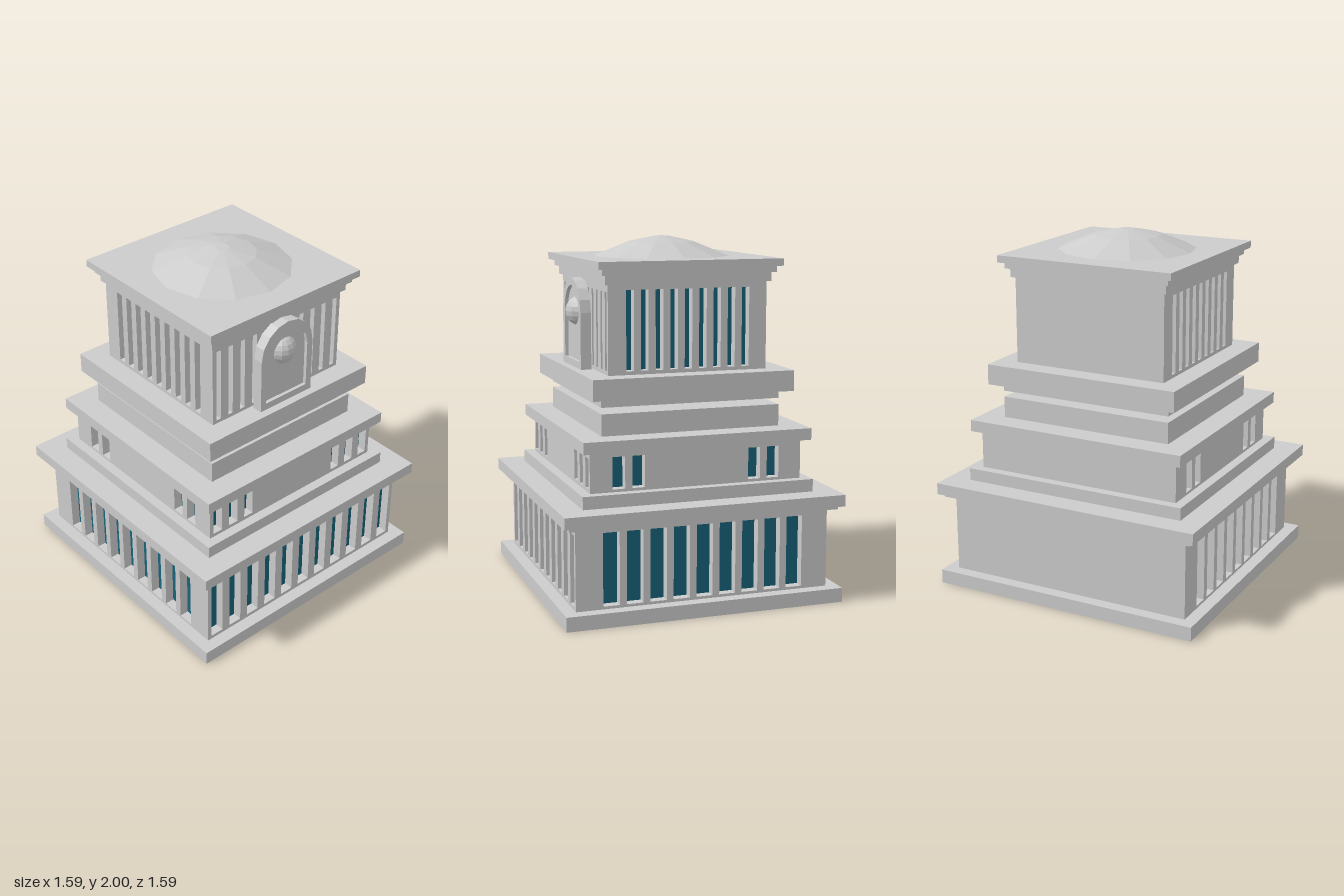
import * as THREE from 'three';

const GREY = new THREE.MeshStandardMaterial({ color: 0xcccccc, flatShading: true });
const GLASS = new THREE.MeshStandardMaterial({ color: 0x17637a });
const DEPTH = 0.055; // window recess

function add(parent, name, geometry, material = GREY) {
  const mesh = new THREE.Mesh(geometry, material);
  mesh.name = name;
  parent.add(mesh);
  return mesh;
}

// Square slab of half-width h between two heights
function slab(parent, name, h, y0, y1) {
  add(parent, name, new THREE.BoxGeometry(2 * h, y1 - y0, 2 * h)).position.y = (y0 + y1) / 2;
}

function rect(target, x0, y0, x1, y1) {
  target.moveTo(x0, y0);
  target.lineTo(x1, y0);
  target.lineTo(x1, y1);
  target.lineTo(x0, y1);
  target.closePath();
  return target;
}

// Wall from x0 to x1 in its own plane, outer face at z = 0, pierced by recessed windows
function windowWall(name, x0, x1, y0, y1, win) {
  const wall = new THREE.Group();
  wall.name = name;
  const shape = rect(new THREE.Shape(), x0, y0, x1, y1);
  for (const c of win.centres) {
    shape.holes.push(rect(new THREE.Path(), c - win.w / 2, win.y0, c + win.w / 2, win.y1));
    const pane = add(wall, 'windowPane', new THREE.PlaneGeometry(win.w, win.y1 - win.y0), GLASS);
    pane.position.set(c, (win.y0 + win.y1) / 2, -DEPTH + 0.003);
  }
  const g = new THREE.ExtrudeGeometry(shape, { depth: DEPTH, bevelEnabled: false });
  add(wall, 'wallFace', g.translate(0, 0, -DEPTH));
  return wall;
}

// Storey with windows in front and on both sides, plain at the back
function storey(parent, name, h, y0, y1, front, side) {
  const group = new THREE.Group();
  group.name = name;
  const inner = h - DEPTH;
  const core = add(group, 'core', new THREE.BoxGeometry(2 * inner, y1 - y0, h + inner));
  core.position.set(0, (y0 + y1) / 2, -DEPTH / 2);
  const frontWall = windowWall('frontWall', -h, h, y0, y1, front);
  frontWall.position.z = h;
  group.add(frontWall);
  for (const s of [1, -1]) {
    const [a, b] = s > 0 ? [-inner, h] : [-h, inner];
    const centres = side.centres.map((c) => -s * c);
    const wall = windowWall(s > 0 ? 'leftWall' : 'rightWall', a, b, y0, y1, { ...side, centres });
    wall.rotation.y = s * Math.PI / 2;
    wall.position.x = s * h;
    group.add(wall);
  }
  parent.add(group);
}

// Evenly spaced positions centred on 0
const row = (n, pitch) => Array.from({ length: n }, (_, i) => (i - (n - 1) / 2) * pitch);

// Arched outline with a faceted top
function arch(target, r, y0, yc) {
  target.moveTo(-r, y0);
  target.lineTo(r, y0);
  for (let i = 0; i <= 8; i++) {
    const a = (i / 8) * Math.PI;
    target.lineTo(r * Math.cos(a), yc + r * Math.sin(a));
  }
  target.closePath();
  return target;
}

export function createModel() {
  const model = new THREE.Group();
  model.name = 'tieredBuilding';

  // Ground storey
  slab(model, 'plinth', 0.79, 0, 0.08);
  storey(model, 'groundStorey', 0.72, 0.08, 0.525,
    { centres: row(11, 0.131), w: 0.08, y0: 0.1, y1: 0.49 },
    { centres: row(9, 0.131), w: 0.092, y0: 0.095, y1: 0.495 });
  slab(model, 'lowerMoulding', 0.765, 0.525, 0.545);
  slab(model, 'lowerCornice', 0.795, 0.545, 0.61);

  // Middle storey
  slab(model, 'middleBase', 0.66, 0.61, 0.68);
  storey(model, 'middleStorey', 0.605, 0.68, 0.9,
    { centres: [-0.55, -0.44, -0.33, 0.33, 0.44, 0.55], w: 0.06, y0: 0.7, y1: 0.865 },
    { centres: [-0.44, -0.33, 0.335, 0.445], w: 0.07, y0: 0.695, y1: 0.87 });
  slab(model, 'middleCornice', 0.65, 0.9, 0.965);

  // Stepped neck
  slab(model, 'neckBlock', 0.512, 0.965, 1.085);
  slab(model, 'neckCore', 0.305, 1.085, 1.12);
  slab(model, 'neckCap', 0.512, 1.12, 1.165);
  slab(model, 'upperBase', 0.575, 1.165, 1.28);

  // Upper storey
  storey(model, 'upperStorey', 0.455, 1.28, 1.765,
    { centres: row(11, 0.083), w: 0.03, y0: 1.3, y1: 1.725 },
    { centres: row(9, 0.083), w: 0.043, y0: 1.3, y1: 1.735 });
  slab(model, 'upperMoulding', 0.475, 1.765, 1.815);
  slab(model, 'upperFrieze', 0.497, 1.815, 1.85);
  slab(model, 'upperCornice', 0.526, 1.85, 1.89);

  // Arched front niche with a ball
  const niche = new THREE.Group();
  niche.name = 'niche';
  const frame = arch(new THREE.Shape(), 0.183, 1.28, 1.593);
  frame.holes.push(arch(new THREE.Path(), 0.145, 1.32, 1.59));
  add(niche, 'nicheFrame', new THREE.ExtrudeGeometry(frame, { depth: 0.06, bevelEnabled: false }))
    .position.z = 0.47;
  add(niche, 'nichePanel', new THREE.ExtrudeGeometry(arch(new THREE.Shape(), 0.145, 1.32, 1.59),
    { depth: 0.04, bevelEnabled: false })).position.z = 0.47;
  add(niche, 'ball', new THREE.SphereGeometry(0.085, 14, 10)).position.set(0, 1.59, 0.478);
  model.add(niche);

  // Shallow faceted dome
  const profile = [[0.387, 1.89], [0.19, 1.968], [0.04, 2], [0, 2]];
  add(model, 'dome', new THREE.LatheGeometry(profile.map(([x, y]) => new THREE.Vector2(x, y)), 12));

  return model;
}
